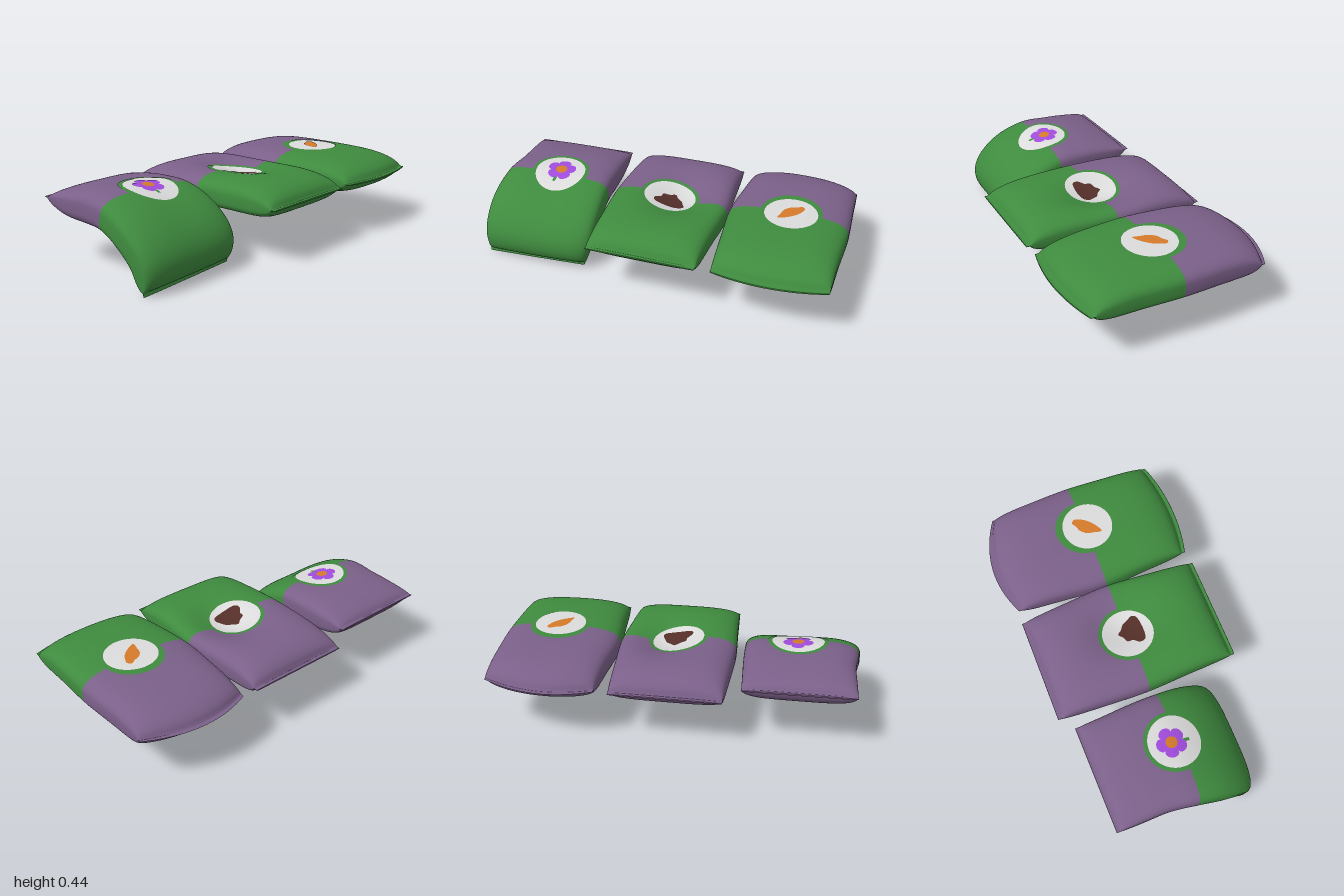
import * as THREE from 'three';

const mat = (name, color) => {
  const m = new THREE.MeshStandardMaterial({ color });
  m.name = name;
  return m;
};
const green = mat('leaf green', 0x3f8b3f);
const purple = mat('dusty purple', 0x7b6089);
const white = mat('label white', 0xdcdcdc);
const violet = mat('petal violet', 0xa24cde);
const orange = mat('orange', 0xd67b2a);
const brown = mat('soil brown', 0x552f29);

// Each sack: centre line [z, y] from back to front, side edges, end bows and skews,
// half thickness above and below, rear bluntness and the depth of the dent around the label
const SACKS = [
  {
    name: 'drapedSack', label: [-0.65, 0.01], ring: 0.01, split: -0.01,
    path: [[-0.44, 0.345], [-0.29, 0.335], [-0.14, 0.334], [0.015, 0.325], [0.168, 0.258], [0.28, 0.145], [0.305, 0.005]],
    left: [-0.97, -0.967, -0.965, -0.985, -1, -0.997, -0.985],
    right: [-0.38, -0.372, -0.364, -0.36, -0.355, -0.362, -0.4],
    bow: [0, 0], skew: [-0.004, -0.012], above: 0.097, below: 0.11, rear: 2.5, dent: 0.015,
  },
  {
    name: 'middleSack', label: [0.01, 0.01], ring: 0.01, split: 0.02,
    path: [[-0.51, 0.3], [-0.255, 0.307], [0, 0.308], [0.26, 0.307], [0.525, 0.3]],
    left: [-0.29, -0.305, -0.315, -0.302, -0.29],
    right: [0.305, 0.32, 0.337, 0.32, 0.305],
    bow: [0, 0], skew: [0, 0], above: 0.104, below: 0.081, rear: 5, dent: 0.072,
  },
  {
    name: 'endSack', label: [0.69, 0.03], ring: 0.01, split: 0.025,
    path: [[-0.48, 0.3], [-0.25, 0.307], [0, 0.308], [0.25, 0.307], [0.508, 0.3]],
    left: [0.385, 0.365, 0.345, 0.365, 0.385],
    right: [0.982, 0.99, 1, 0.99, 0.985],
    bow: [-0.078, 0.042], skew: [0.02, -0.005], above: 0.104, below: 0.081, rear: 5, dent: 0,
  },
];

// Half thickness along the sack: blunt ends, then a thin sealed flange
function thickness(d, s, side) {
  const a = Math.abs(s);
  if (a >= 1) return 0;
  const power = (s < 0 ? d.rear : 5) * (side > 0 ? 1 : 1.7);
  const body = Math.max(0, 1 - Math.pow(a / 0.955, power));
  return Math.max(0.004, (side > 0 ? d.above : d.below) * Math.sqrt(body));
}

// Returns a function giving a point on the sack: u across, s along, side up or down
function sackSurface(d) {
  const line = new THREE.CatmullRomCurve3(d.path.map(([z, y]) => new THREE.Vector3(0, y, z)));
  const edges = new THREE.CatmullRomCurve3(d.left.map((l, i) => new THREE.Vector3(l, d.right[i], i * 0.2)));
  return (u, s, side) => {
    const t = (s + 1) / 2;
    const c = line.getPoint(t), dir = line.getTangent(t), e = edges.getPoint(t);
    const end = s < 0 ? 0 : 1;
    const along = Math.pow(Math.abs(s), 3) * (d.bow[end] * (1 - u * u) + d.skew[end] * u);
    const round = side > 0 ? 3.2 : 4; // squarer underneath
    let h = side * thickness(d, s, side) * Math.pow(Math.max(0, 1 - Math.pow(Math.abs(u), round)), 1 / round);
    if (side > 0) h -= d.dent * Math.exp(-((u - 0.3) ** 2) / 0.35 - s * s / 0.2) * (1 - u * u) * (1 - s * s);
    return new THREE.Vector3(
      (e.x + e.y) / 2 + u * (e.y - e.x) / 2,
      c.y + dir.y * along + dir.z * h,
      c.z + dir.z * along - dir.y * h);
  };
}

function buildGeometry(points, index) {
  const g = new THREE.BufferGeometry().setFromPoints(points);
  g.setIndex(index);
  g.computeVertexNormals();
  return g;
}

// Closed tube of cross-sections between two stations
function sackHalf(surface, s0, s1) {
  const rows = 44, cols = 88, pts = [], idx = [];
  for (let i = 0; i <= rows; i++) {
    const k = i / rows;
    const s = s0 === -1 ? s1 - (s1 + 1) * Math.sin((1 - k) * Math.PI / 2) : s0 + (1 - s0) * Math.sin(k * Math.PI / 2);
    for (let j = 0; j < cols; j++) {
      const a = (j / cols) * Math.PI * 2;
      pts.push(surface(Math.cos(a), s, j <= cols / 2 ? 1 : -1));
    }
  }
  for (let i = 0; i < rows; i++) for (let j = 0; j < cols; j++) {
    const a = i * cols + j, b = i * cols + (j + 1) % cols;
    idx.push(a, b, b + cols, a, b + cols, a + cols);
  }
  return buildGeometry(pts, idx);
}

// Thin printed patch laid on the top of a sack; outline is counter-clockwise
function patch(surface, cx, cz, outline, lift) {
  const rings = 8, n = outline.length, idx = [];
  const onTop = (x, z) => {
    let u = 0, s = 0, p;
    for (let k = 0; k < 14; k++) {
      p = surface(u, s, 1);
      u = THREE.MathUtils.clamp(u + (x - p.x) / 0.33, -0.99, 0.99);
      s = THREE.MathUtils.clamp(s + (z - p.z) / 0.52, -0.99, 0.99);
    }
    p.y += lift;
    return p;
  };
  const pts = [onTop(cx, cz)];
  for (let r = 1; r <= rings; r++)
    for (const [x, y] of outline) pts.push(onTop(cx + x * r / rings, cz - y * r / rings));
  for (let j = 0; j < n; j++) {
    const k = (j + 1) % n;
    idx.push(0, 1 + j, 1 + k);
    for (let r = 0; r < rings - 1; r++) {
      const a = 1 + r * n + j, b = 1 + r * n + k;
      idx.push(a, a + n, b + n, a, b + n, b);
    }
  }
  return buildGeometry(pts, idx);
}

const polar = (radius, n = 80) => Array.from({ length: n }, (_, i) => {
  const a = (i / n) * Math.PI * 2, r = radius(a);
  return [r * Math.cos(a), r * Math.sin(a)];
});
const smooth = (pts) => new THREE.CatmullRomCurve3(pts.map(([x, y]) => new THREE.Vector3(x, y, 0)), true)
  .getPoints(48).slice(0, -1).map((p) => [p.x, p.y]);

// Pictures: [name, material, x offset, z offset, outline, lift]
const PICTURES = [
  [
    ['flowerStem', green, -0.01, 0.05, [[-0.008, -0.03], [0.008, -0.03], [0.012, 0.03], [-0.008, 0.03]], 0.005],
    ['flowerPetals', violet, 0, -0.017, polar((a) => 0.057 + 0.026 * Math.sqrt(Math.abs(Math.cos(2.5 * (a - Math.PI / 2))))), 0.006],
    ['flowerCentre', orange, 0, -0.017, polar(() => 0.032), 0.0075],
  ],
  [
    ['soilHeap', brown, 0.005, 0.025, smooth([[-0.06, -0.058], [0.07, -0.058], [0.09, -0.035], [0.075, 0.002],
      [0.06, 0.032], [0.035, 0.05], [0.012, 0.075], [-0.015, 0.056], [-0.048, 0.042], [-0.052, 0.012], [-0.076, -0.015], [-0.077, -0.042]]), 0.006],
  ],
  [
    ['carrot', orange, 0, -0.005, smooth([[-0.06, -0.07], [-0.015, -0.052], [0.03, -0.015], [0.055, 0.025],
      [0.063, 0.055], [0.045, 0.072], [0.02, 0.058], [-0.015, 0.045], [-0.043, 0.012], [-0.053, -0.03]]), 0.006],
  ],
];

export function createModel() {
  const model = new THREE.Group();
  model.name = 'gardenSacks';
  SACKS.forEach((d, i) => {
    const sack = new THREE.Group();
    sack.name = d.name;
    const add = (name, geometry, material) => {
      const m = new THREE.Mesh(geometry, material);
      m.name = name;
      sack.add(m);
    };
    const surface = sackSurface(d);
    const [x, z] = d.label;
    // Two-tone body
    add('backHalf', sackHalf(surface, -1, d.split), purple);
    add('frontHalf', sackHalf(surface, d.split, 1), green);
    // Round label with its border and picture
    add('labelBorder', patch(surface, x, d.ring, polar(() => 0.163), 0.002), green);
    add('label', patch(surface, x, z, polar(() => 0.142), 0.0038), white);
    for (const [name, material, dx, dz, outline, lift] of PICTURES[i])
      add(name, patch(surface, x + dx, z + dz, outline, lift), material);
    model.add(sack);
  });
  return model;
}
